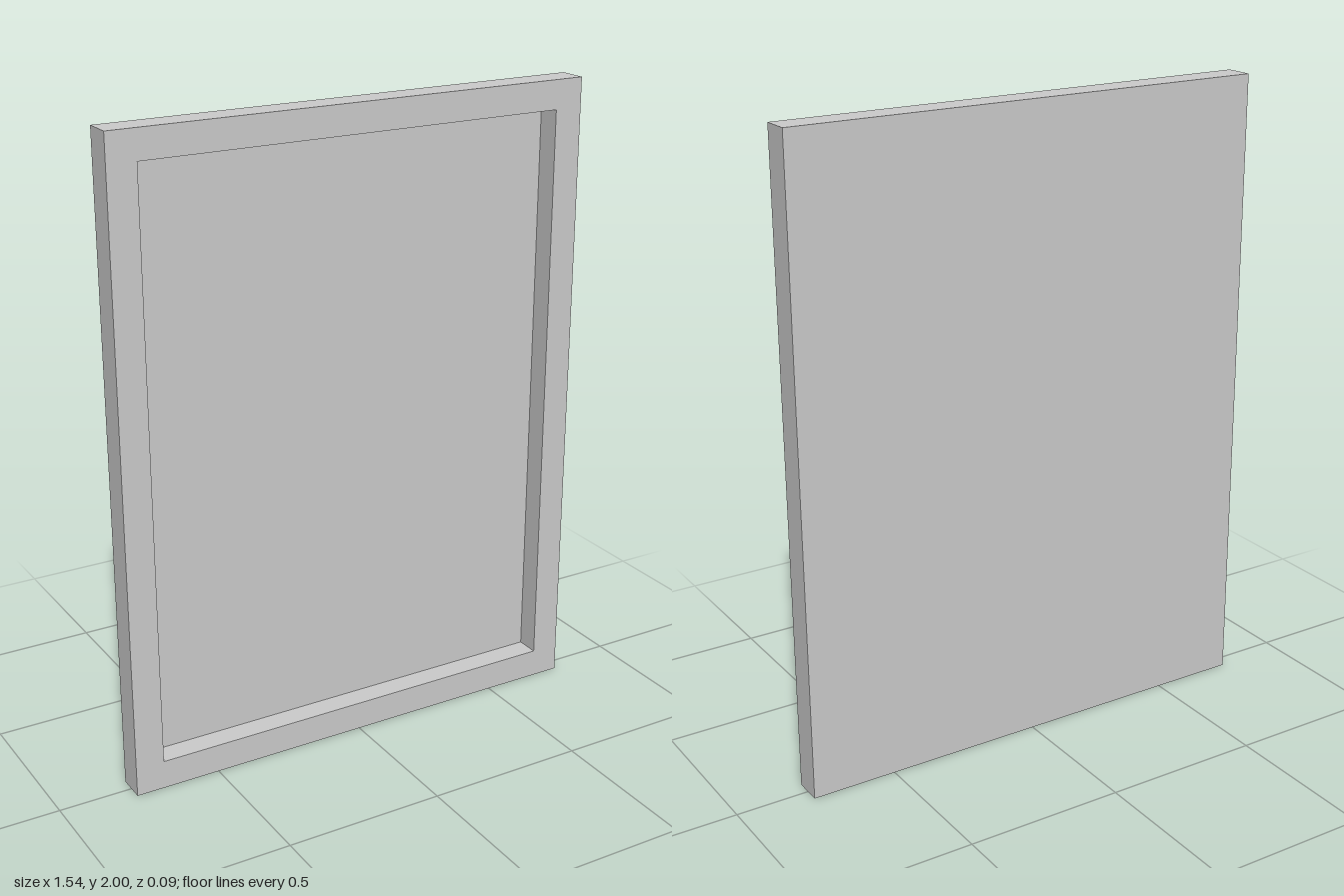
import * as THREE from 'three';

const WIDTH = 1.54, HEIGHT = 2, DEPTH = 0.09;
const BORDER = 0.09, RECESS = 0.075;

// Traces a rectangle centred on x = 0 and y = HEIGHT / 2
function rectangle(path, w, h) {
  const y = HEIGHT / 2;
  path.moveTo(-w / 2, y - h / 2);
  path.lineTo(w / 2, y - h / 2);
  path.lineTo(w / 2, y + h / 2);
  path.lineTo(-w / 2, y + h / 2);
  path.closePath();
  return path;
}

export function createModel() {
  const group = new THREE.Group();
  const material = new THREE.MeshStandardMaterial({ color: 0xcccccc });
  const innerW = WIDTH - 2 * BORDER, innerH = HEIGHT - 2 * BORDER;

  // Rectangular border
  const outline = rectangle(new THREE.Shape(), WIDTH, HEIGHT);
  outline.holes.push(rectangle(new THREE.Path(), innerW, innerH));
  const frame = new THREE.Mesh(
    new THREE.ExtrudeGeometry(outline, { depth: DEPTH, bevelEnabled: false }), material);
  frame.name = 'frame';
  frame.position.z = -DEPTH / 2;

  // Thin panel filling the opening, flush with the back of the frame
  const thickness = DEPTH - RECESS;
  const panel = new THREE.Mesh(new THREE.BoxGeometry(innerW, innerH, thickness), material);
  panel.name = 'backPanel';
  panel.position.set(0, HEIGHT / 2, -DEPTH / 2 + thickness / 2);

  group.add(frame, panel);
  return group;
}
